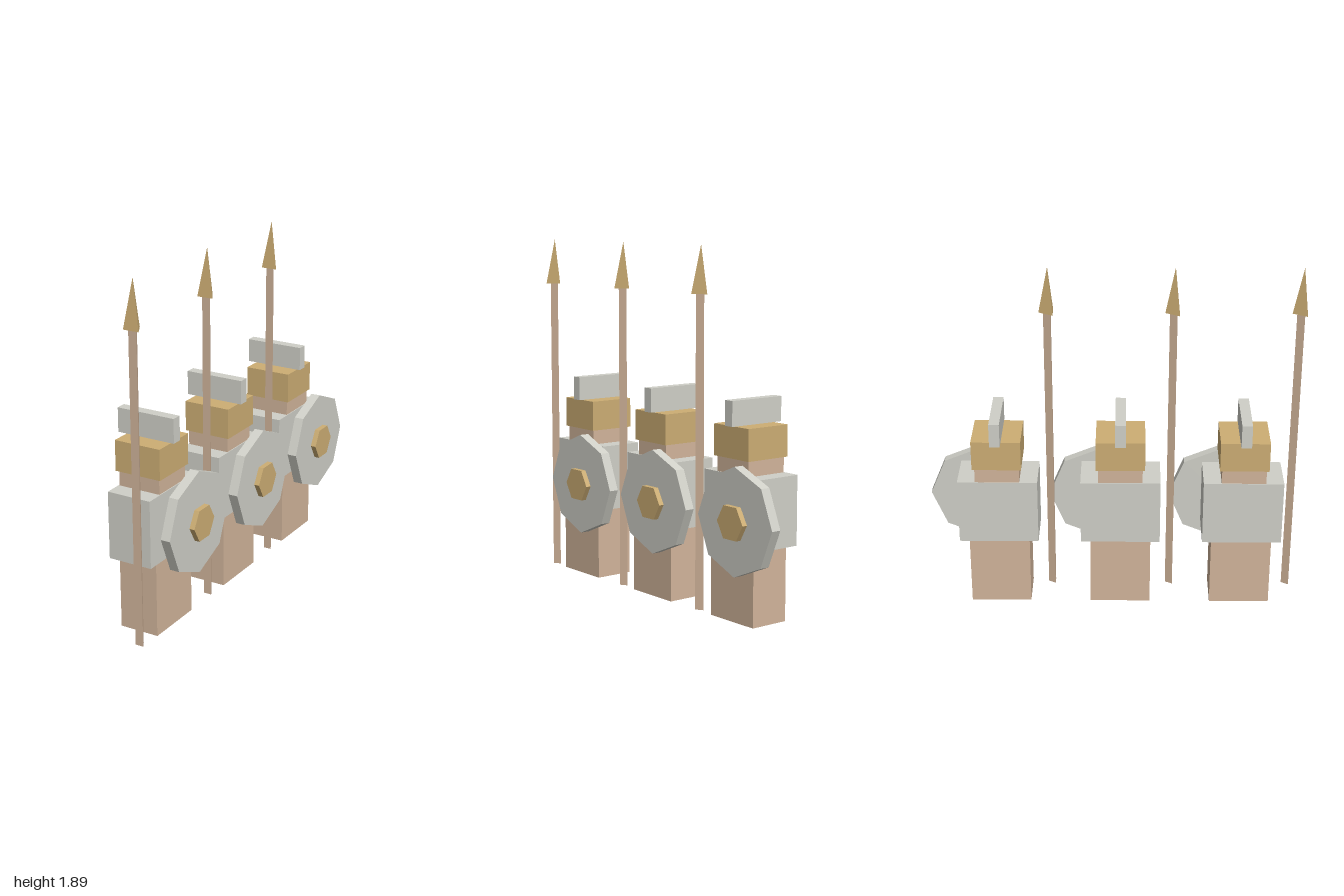
import * as THREE from 'three';

const material = (name, color) => {
  const m = new THREE.MeshStandardMaterial({ color, flatShading: true });
  m.name = name;
  return m;
};

export function createModel() {
  const steel = material('steel', 0xd0d0c8);
  const brass = material('brass', 0xcdae74);
  const tan = material('tan', 0xd2b59b);

  const add = (parent, name, geometry, mat, x, y, z) => {
    const mesh = new THREE.Mesh(geometry, mat);
    mesh.name = name;
    mesh.position.set(x, y, z);
    parent.add(mesh);
    return mesh;
  };

  // Box given by its width, depth, bottom and top
  const block = (parent, name, mat, x, w, d, y0, y1) =>
    add(parent, name, new THREE.BoxGeometry(w, y1 - y0, d), mat, x, (y0 + y1) / 2, 0);

  // Flat polygonal plate facing +x
  const plate = (parent, name, mat, radius, sides, x0, x1, y, z) =>
    add(parent, name,
      new THREE.CylinderGeometry(radius, radius, x1 - x0, sides).rotateZ(-Math.PI / 2),
      mat, (x0 + x1) / 2, y, z);

  // Three-sided rod or point with one edge towards the back
  const prism = (parent, name, mat, rTop, rBottom, y0, y1, x, z) =>
    add(parent, name,
      new THREE.CylinderGeometry(rTop, rBottom, y1 - y0, 3, 1, false, Math.PI),
      mat, x, (y0 + y1) / 2, z);

  const model = new THREE.Group();
  model.name = 'spearmen';

  // Three identical soldiers in a file
  for (let i = 0; i < 3; i++) {
    const soldier = new THREE.Group();
    soldier.name = 'soldier' + (i + 1);
    soldier.position.z = 0.696 - i * 0.653;
    model.add(soldier);

    // Body
    block(soldier, 'legs', tan, -0.018, 0.217, 0.325, 0, 0.4);
    block(soldier, 'breastplate', steel, -0.03, 0.245, 0.425, 0.395, 0.755);
    block(soldier, 'head', tan, -0.03, 0.235, 0.235, 0.75, 0.84);

    // Helmet
    block(soldier, 'helmet', brass, -0.03, 0.26, 0.26, 0.835, 0.998);
    block(soldier, 'helmetCrest', steel, -0.046, 0.327, 0.055, 0.998, 1.127);

    // Shield on the left side
    plate(soldier, 'shield', steel, 0.277, 8, 0.122, 0.175, 0.54, -0.112);
    plate(soldier, 'shieldBoss', brass, 0.096, 6, 0.17, 0.204, 0.54, -0.112);

    // Spear standing in front
    const spear = new THREE.Group();
    spear.name = 'spear';
    spear.position.set(0.067, 0, 0.277);
    soldier.add(spear);
    prism(spear, 'spearShaft', tan, 0.026, 0.026, 0, 1.64, 0, 0);
    prism(spear, 'spearPoint', brass, 0, 0.05, 1.637, 1.887, 0, 0);
  }
  return model;
}
